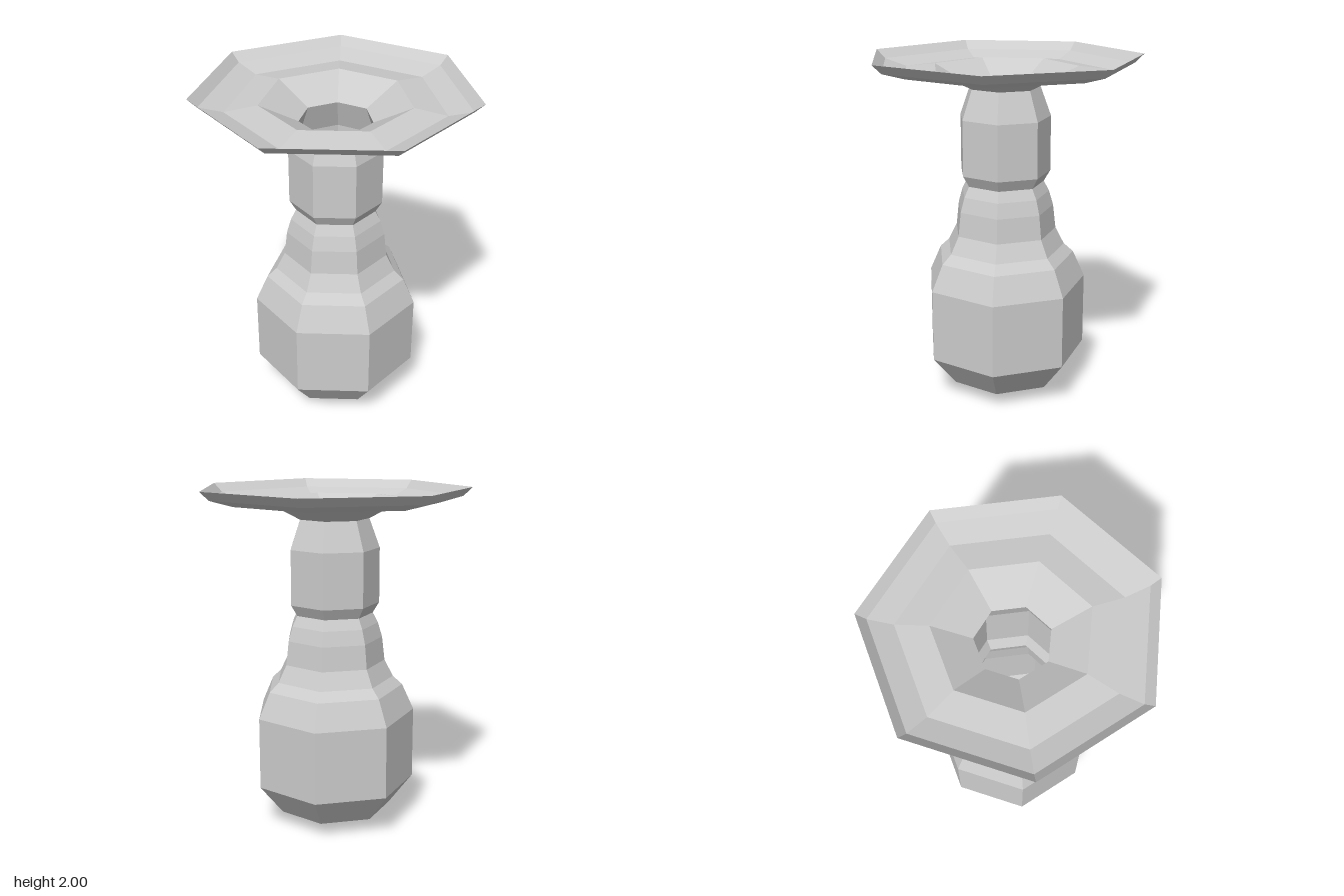
import * as THREE from 'three';

export function createModel() {
  const group = new THREE.Group();
  const clay = new THREE.MeshStandardMaterial({
    color: 0xcccccc, flatShading: true, side: THREE.DoubleSide,
  });
  clay.name = 'light grey clay';

  // Seven-sided ring section turned from [radius, height] points, one corner facing back
  const turn = (name, profile) => {
    const points = profile.map(([r, y]) => new THREE.Vector2(r, y));
    const mesh = new THREE.Mesh(new THREE.LatheGeometry(points, 7, Math.PI), clay);
    mesh.name = name;
    mesh.position.z = 0.039;
    group.add(mesh);
  };

  // Closed bulb with stepped shoulders
  turn('body', [
    [0, 0], [0.118, 0], [0.338, 0.085], [0.479, 0.262], [0.479, 0.685],
    [0.41, 0.838], [0.354, 0.89], [0.303, 0.99], [0.287, 1.13],
    [0.262, 1.215], [0.231, 1.275],
  ]);
  // Collar above the pinched waist
  turn('neck', [[0.231, 1.275], [0.268, 1.338], [0.268, 1.657], [0.207, 1.825]]);
  // Open funnel, rising to a crest
  turn('funnel', [[0.207, 1.825], [0.424, 1.936]]);
  // Wide dished rim around the funnel
  turn('rim', [[0.424, 1.936], [0.606, 1.912], [0.741, 1.95], [0.794, 2]]);

  return group;
}
